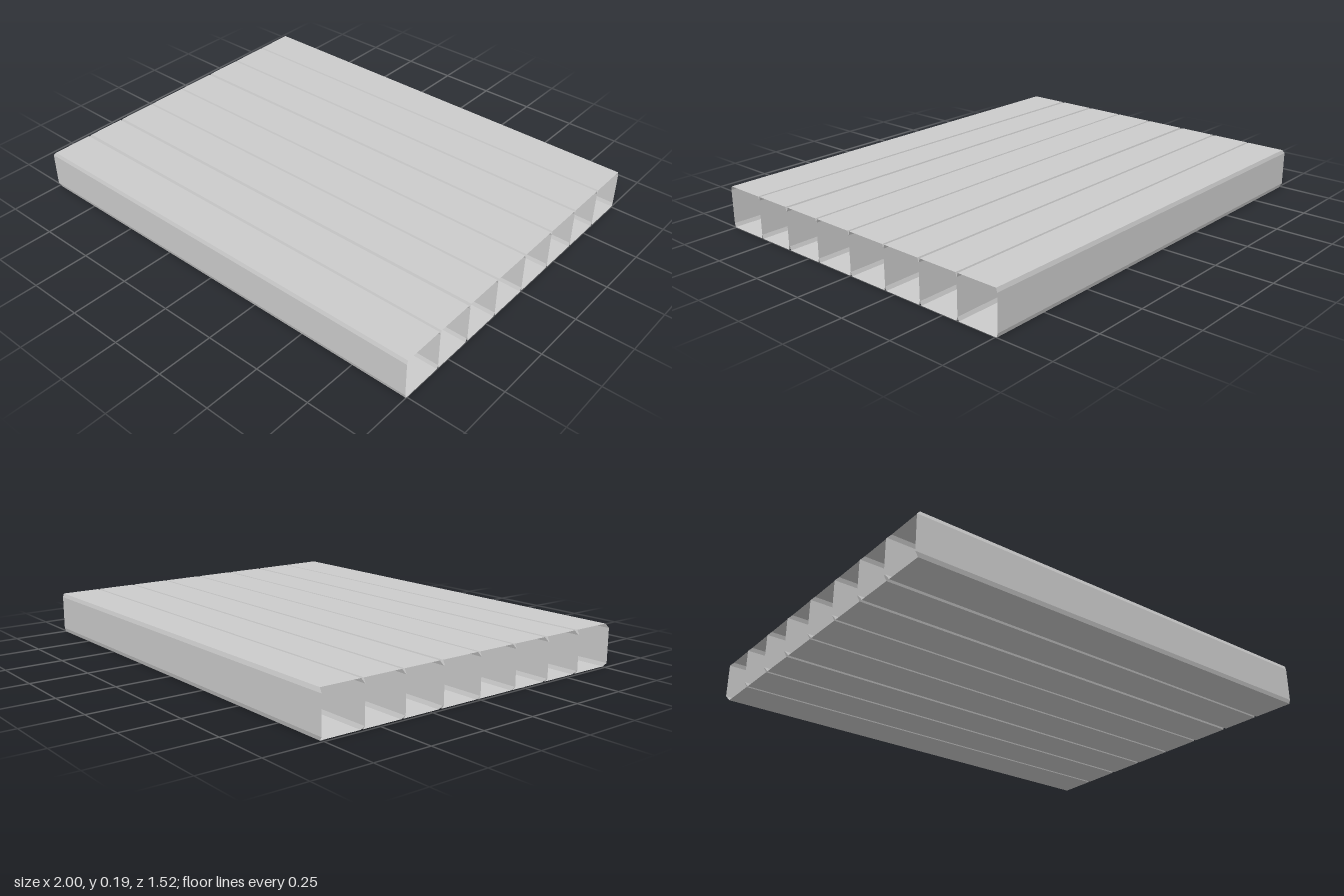
import * as THREE from 'three';

const HEIGHT = 0.185;
const BEVEL_Y = 0.017; // height of the long-edge bevels
const BEVEL_Z = 0.005; // depth of the long-edge bevels
const RIGHT_END = 1, WALL_END = -1, FACE_END = -0.985;

// Seams between planks: centre z, gap at the -x end, gap at the +x end
const SEAMS = [
  [-0.76, 0, 0],
  [-0.572, 0.001, 0.001],
  [-0.384, 0.002, 0.002],
  [-0.198, 0.006, 0.001],
  [-0.003, 0.001, 0.001],
  [0.19, 0.001, 0.001],
  [0.378, 0.005, 0.005],
  [0.563, 0.007, 0.001],
  [0.76, 0, 0],
];

const material = new THREE.MeshStandardMaterial({
  color: 0xcccccc, flatShading: true, side: THREE.DoubleSide,
});

// Bevelled cross-section at one end; flat faces may stop short of the walls
function section(z0, z1, wallX, faceX) {
  const b = BEVEL_Z, y0 = BEVEL_Y, y1 = HEIGHT - BEVEL_Y;
  return [
    [wallX, y0, z1], [wallX, y1, z1],
    [faceX, HEIGHT, z1 - b], [faceX, HEIGHT, z0 + b],
    [wallX, y1, z0], [wallX, y0, z0],
    [faceX, 0, z0 + b], [faceX, 0, z1 - b],
  ];
}

// Hollow plank, open at both ends
function plankGeometry(back, front) {
  const edge = (i) => [back[0] + back[i] / 2, front[0] - front[i] / 2];
  const a = section(...edge(1), WALL_END, FACE_END);
  const b = section(...edge(2), RIGHT_END, RIGHT_END);
  const positions = [];
  for (let i = 0; i < a.length; i++) {
    const j = (i + 1) % a.length;
    for (const p of [a[i], b[i], b[j], a[i], b[j], a[j]]) positions.push(...p);
  }
  const geometry = new THREE.BufferGeometry();
  geometry.setAttribute('position', new THREE.Float32BufferAttribute(positions, 3));
  geometry.computeVertexNormals();
  return geometry;
}

export function createModel() {
  const group = new THREE.Group();
  group.name = 'plankPanel';
  for (let i = 0; i < SEAMS.length - 1; i++) {
    const plank = new THREE.Mesh(plankGeometry(SEAMS[i], SEAMS[i + 1]), material);
    plank.name = `plank${i + 1}`;
    group.add(plank);
  }
  return group;
}
